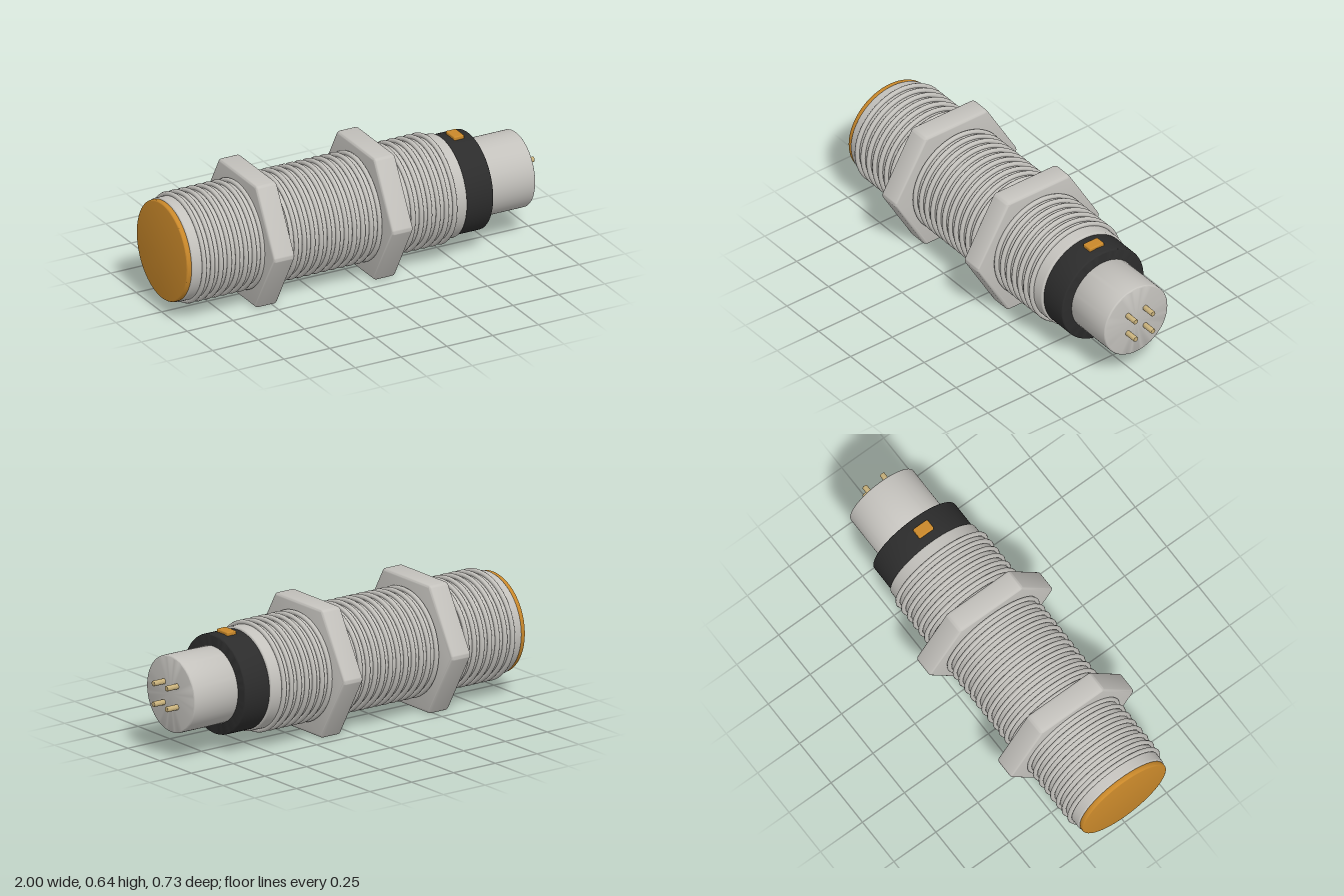
import * as THREE from 'three';
import { toCreasedNormals } from 'three/addons/utils/BufferGeometryUtils.js';
import { RoundedBoxGeometry } from 'three/addons/geometries/RoundedBoxGeometry.js';

const AXIS_Y = 0.32;

export function createModel() {
  const model = new THREE.Group();
  model.name = 'inductiveSensor';

  const paint = (name, color) => {
    const m = new THREE.MeshStandardMaterial({ color });
    m.name = name;
    return m;
  };
  const metal = paint('nickel metal', 0xc4c2bd);
  const black = paint('black plastic', 0x2c2c2c);
  const amber = paint('amber plastic', 0xc9882a);
  const brass = paint('brass', 0xc9b27c);

  // Everything sits on a horizontal axis running along x
  const assembly = new THREE.Group();
  assembly.name = 'assembly';
  assembly.position.y = AXIS_Y;
  model.add(assembly);

  const add = (name, geometry, material, x = 0, y = 0, z = 0) => {
    const mesh = new THREE.Mesh(geometry, material);
    mesh.name = name;
    mesh.position.set(x, y, z);
    assembly.add(mesh);
    return mesh;
  };

  // Closed drum from x0 to x1 with rounded rims of radius b
  const drum = (x0, x1, r, b, segments = 72) => {
    const points = [new THREE.Vector2(0, x0)];
    for (let i = 0; i <= 4; i++) {
      const a = (i / 4) * Math.PI / 2;
      points.push(new THREE.Vector2(r - b + b * Math.sin(a), x0 + b - b * Math.cos(a)));
    }
    for (let i = 0; i <= 4; i++) {
      const a = (i / 4) * Math.PI / 2;
      points.push(new THREE.Vector2(r - b + b * Math.cos(a), x1 - b + b * Math.sin(a)));
    }
    points.push(new THREE.Vector2(0, x1));
    const g = new THREE.LatheGeometry(points, segments).rotateZ(-Math.PI / 2);
    return toCreasedNormals(g, 0.6);
  };

  // Main barrel, sensing face, collar and plug
  add('sensingFace', drum(-1, -0.972, 0.25, 0.008), amber);
  add('barrel', drum(-0.975, 0.527, 0.255, 0.008), metal);
  add('collar', drum(0.525, 0.675, 0.246, 0.008), black);
  add('plug', drum(0.67, 0.935, 0.19, 0.008), metal);

  // Thread ridges
  const ridge = new THREE.TorusGeometry(0.262, 0.012, 8, 64).rotateY(Math.PI / 2);
  const ridgeCount = 31;
  for (let i = 0; i < ridgeCount; i++) {
    add('threadRidge', ridge, metal, -0.913 + (i / (ridgeCount - 1)) * 1.367);
  }

  // Hexagonal nuts with softened corners and bevelled rims
  const bevel = 0.015;
  const rounding = 0.012;
  const apothem = 0.32 - bevel;
  const cornerDistance = (apothem - rounding) / Math.cos(Math.PI / 6);
  const hex = new THREE.Shape();
  for (let i = 0; i < 6; i++) {
    const a = i * Math.PI / 3;
    for (let j = 0; j <= 4; j++) {
      const t = a - Math.PI / 6 + (j / 4) * Math.PI / 3;
      const px = cornerDistance * Math.cos(a) + rounding * Math.cos(t);
      const py = cornerDistance * Math.sin(a) + rounding * Math.sin(t);
      if (i + j === 0) hex.moveTo(px, py);
      else hex.lineTo(px, py);
    }
  }
  hex.closePath();
  const nutWidth = 0.115;
  const nutGeometry = toCreasedNormals(
    new THREE.ExtrudeGeometry(hex, {
      depth: nutWidth - 2 * bevel,
      bevelEnabled: true,
      bevelThickness: bevel,
      bevelSize: bevel,
      bevelSegments: 4,
    }).translate(0, 0, -nutWidth / 2 + bevel).rotateY(Math.PI / 2),
    0.6
  );
  add('frontNut', nutGeometry, metal, -0.531);
  add('rearNut', nutGeometry, metal, 0.114);

  // Indicator lamp on top of the collar
  add('indicatorLamp', new RoundedBoxGeometry(0.056, 0.03, 0.086, 3, 0.006), amber, 0.6, 0.245, 0);

  // Four contact pins
  const pin = drum(0.92, 1, 0.0135, 0.003, 20);
  for (const y of [-0.052, 0.052]) {
    for (const z of [-0.052, 0.052]) add('contactPin', pin, brass, 0, y, z);
  }

  return model;
}
